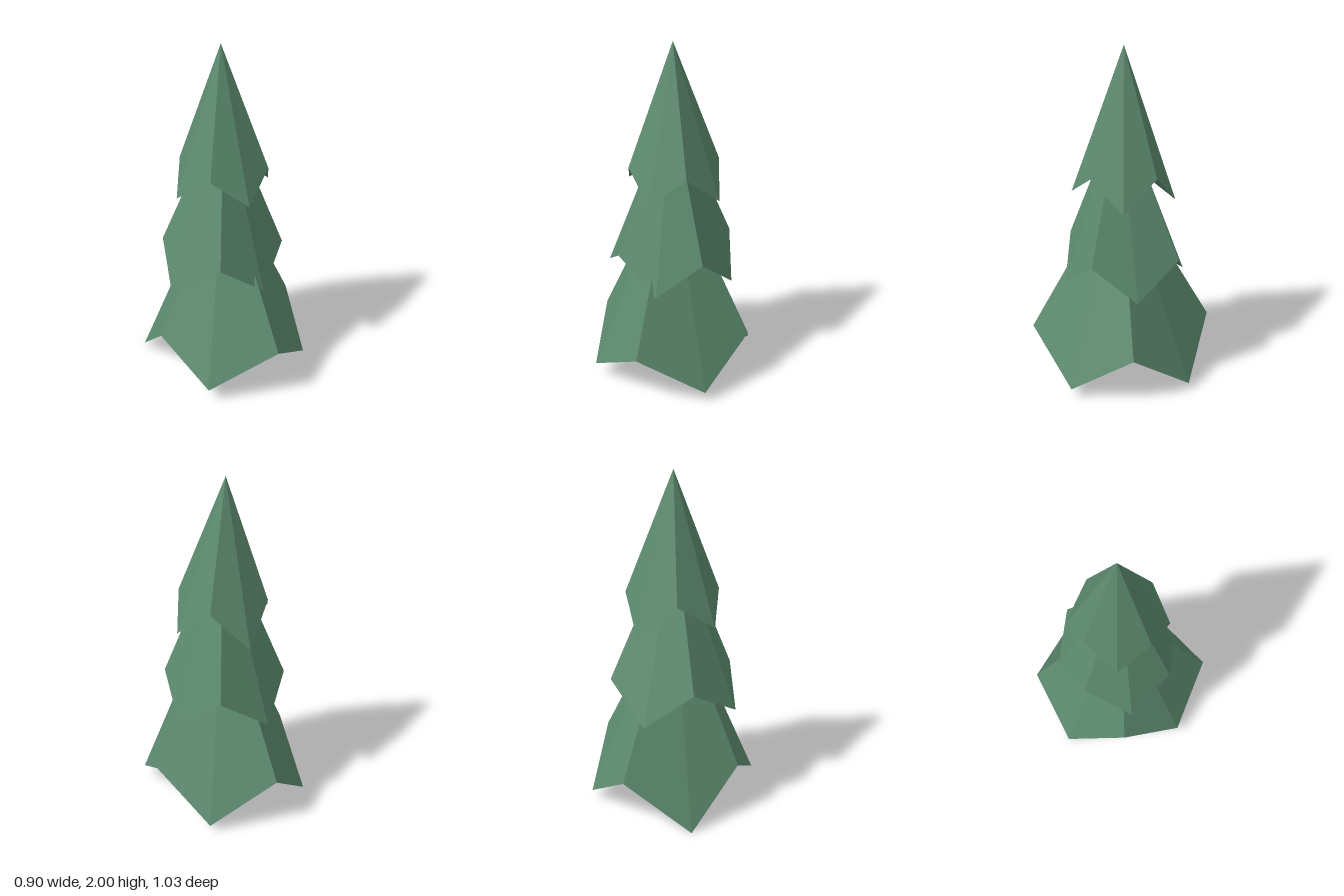
import * as THREE from 'three';

// Each tier: tip, underside centre height, and eight rim points [x, y, z]
// running counter-clockwise seen from above, alternating drooping and raised.
const tiers = [
  {
    name: 'lowerBranches', tip: [-0.02, 1.25, 0], hollow: 0.39,
    rim: [
      [0.095, 0.3, -0.515], [-0.285, 0, -0.425], [-0.45, 0.3, -0.1], [-0.43, 0.08, 0.26],
      [-0.12, 0.3, 0.515], [0.255, 0.06, 0.4], [0.45, 0.3, 0.09], [0.4, 0.04, -0.275],
    ],
  },
  {
    name: 'middleBranches', tip: [-0.02, 1.66, 0], hollow: 0.87,
    rim: [
      [0.02, 0.6, -0.38], [-0.24, 0.8, -0.28], [-0.41, 0.63, -0.045], [-0.285, 0.8, 0.22],
      [-0.045, 0.61, 0.33], [0.205, 0.8, 0.25], [0.335, 0.6, 0.025], [0.275, 0.8, -0.245],
    ],
  },
  {
    name: 'topBranches', tip: [-0.02, 2, -0.02], hollow: 1.36,
    rim: [
      [0.085, 1.09, -0.295], [-0.125, 1.3, -0.24], [-0.295, 1.15, -0.1], [-0.245, 1.3, 0.11],
      [-0.1, 1.15, 0.265], [0.105, 1.3, 0.22], [0.265, 1.13, 0.085], [0.225, 1.3, -0.125],
    ],
  },
];

// Faceted cone: a fan up to the tip and a hollow fan underneath
function branchGeometry({ tip, hollow, rim }) {
  const points = [];
  rim.forEach((a, i) => {
    const b = rim[(i + 1) % rim.length];
    points.push(...tip, ...a, ...b);
    points.push(0, hollow, 0, ...b, ...a);
  });
  const geometry = new THREE.BufferGeometry();
  geometry.setAttribute('position', new THREE.Float32BufferAttribute(points, 3));
  geometry.computeVertexNormals(); // unshared corners give flat facets
  return geometry;
}

export function createModel() {
  const tree = new THREE.Group();
  tree.name = 'firTree';
  const needles = new THREE.MeshStandardMaterial({ color: 0x5c8a6e });
  needles.name = 'needle green';
  for (const tier of tiers) {
    const mesh = new THREE.Mesh(branchGeometry(tier), needles);
    mesh.name = tier.name;
    tree.add(mesh);
  }
  return tree;
}
